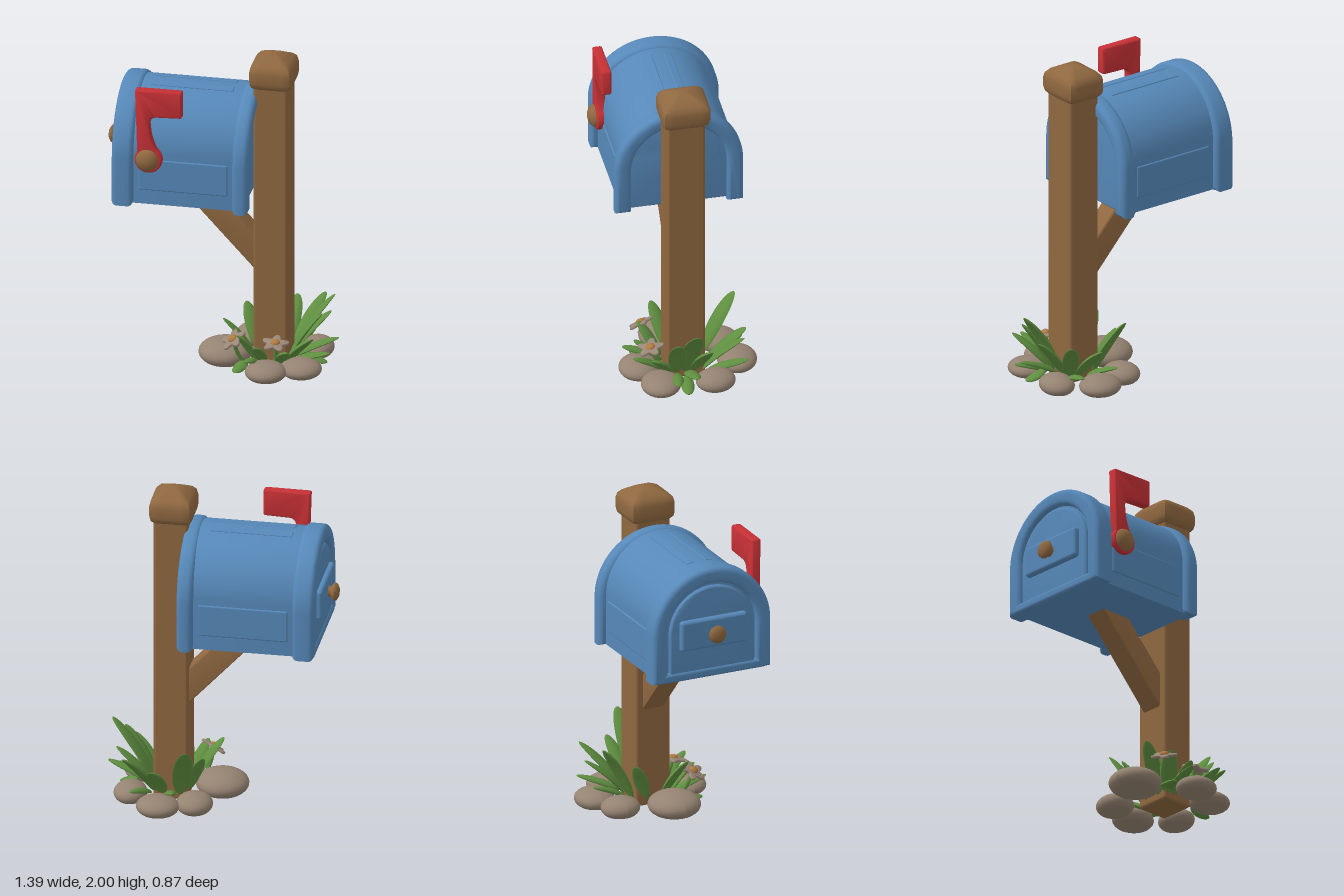
import * as THREE from 'three';
import { toCreasedNormals } from 'three/addons/utils/BufferGeometryUtils.js';
import { RoundedBoxGeometry } from 'three/addons/geometries/RoundedBoxGeometry.js';

export function createModel() {
  const model = new THREE.Group();
  const mat = (name, color) => Object.assign(new THREE.MeshStandardMaterial({ color }), { name });
  const blue = mat('blue paint', 0x5688b8);
  const wood = mat('wood', 0x8f6840);
  const red = mat('red paint', 0xc53035);
  const stone = mat('stone', 0x958372);
  const green = mat('leaf green', 0x5f8f40);
  const petal = mat('petal', 0x9a8878);
  const pollen = mat('flower centre', 0xb07a40);

  function add(name, geometry, material, x = 0, y = 0, z = 0) {
    const mesh = new THREE.Mesh(geometry, material);
    mesh.name = name;
    mesh.position.set(x, y, z);
    model.add(mesh);
    return mesh;
  }
  const roundedBox = (w, h, d, r) => new RoundedBoxGeometry(w, h, d, 3, r);

  // Bevelled extrusion whose outline keeps its drawn size
  function slab(shape, depth, bevel) {
    const geometry = new THREE.ExtrudeGeometry(shape, {
      depth: depth - 2 * bevel, bevelThickness: bevel, bevelSize: bevel, bevelOffset: -bevel,
      bevelSegments: 4, curveSegments: 24,
    });
    geometry.translate(0, 0, bevel);
    return toCreasedNormals(geometry, 0.7);
  }

  // Arch outline: half width w, from bottom y0 to crown y1
  function arch(w, y0, y1) {
    const s = new THREE.Shape();
    s.moveTo(-w, y0).lineTo(w, y0).lineTo(w, y1 - w);
    s.absarc(0, y1 - w, w, 0, Math.PI, false);
    s.lineTo(-w, y0);
    return s;
  }
  // Band following the arch, open at the bottom
  function archBand(w, inner, y0, y1) {
    const s = new THREE.Shape();
    s.moveTo(inner, y0).lineTo(w, y0).lineTo(w, y1 - w);
    s.absarc(0, y1 - w, w, 0, Math.PI, false);
    s.lineTo(-w, y0).lineTo(-inner, y0).lineTo(-inner, y1 - w);
    s.absarc(0, y1 - w, inner, Math.PI, 0, true);
    s.lineTo(inner, y0);
    return s;
  }
  const alongX = (shape, x0, x1, bevel) => slab(shape, x1 - x0, bevel).rotateY(Math.PI / 2).translate(x0, 0, 0);

  // Mailbox
  add('mailboxBody', alongX(arch(0.35, 1.11, 1.775), -0.58, 0.18, 0.015), blue);
  add('frontRim', alongX(archBand(0.39, 0.29, 1.1, 1.79), -0.61, -0.48, 0.03), blue);
  add('frontFloorRim', roundedBox(0.13, 0.06, 0.72, 0.02), blue, -0.545, 1.13, 0);
  add('backRim', alongX(archBand(0.39, 0.29, 1.1, 1.785), 0.12, 0.22, 0.035), blue);
  add('door', alongX(arch(0.28, 1.12, 1.675), -0.602, -0.55, 0.015), blue);
  add('doorPanel', roundedBox(0.05, 0.19, 0.44, 0.02), blue, -0.61, 1.39, 0);
  for (const side of [-1, 1]) {
    add('sidePanel', roundedBox(0.54, 0.2, 0.02, 0.009), blue, -0.18, 1.3, side * 0.347);
    add('roofRib', roundedBox(0.5, 0.014, 0.05, 0.006), blue, -0.18, 1.768, side * 0.06).rotation.x = side * 0.17;
  }

  // Door knob
  const knob = [[0, 0], [0.045, 0], [0.03, 0.02], [0.035, 0.032], [0.055, 0.045], [0.052, 0.062], [0.03, 0.075], [0, 0.078]];
  add('doorKnob', new THREE.LatheGeometry(knob.map(([r, y]) => new THREE.Vector2(r, y)), 24).rotateZ(Math.PI / 2),
    wood, -0.622, 1.39, 0);

  // Signal flag with its pivot
  const flag = new THREE.Shape();
  flag.moveTo(-0.465, 1.85).lineTo(-0.452, 1.46);
  flag.absarc(-0.385, 1.41, 0.083, 2.5, Math.PI * 2 + 0.85, false);
  flag.quadraticCurveTo(-0.37, 1.52, -0.378, 1.64);
  flag.quadraticCurveTo(-0.375, 1.69, -0.33, 1.69);
  flag.lineTo(-0.195, 1.695).quadraticCurveTo(-0.18, 1.695, -0.18, 1.71);
  flag.lineTo(-0.18, 1.85).quadraticCurveTo(-0.18, 1.862, -0.195, 1.862);
  flag.lineTo(-0.45, 1.86).quadraticCurveTo(-0.465, 1.86, -0.465, 1.85);
  add('signalFlag', slab(flag, 0.06, 0.012), red, 0, 0, 0.33);
  const pivot = new THREE.SphereGeometry(0.07, 24, 16);
  add('flagPivot', pivot.scale(1, 1, 0.7), wood, -0.39, 1.41, 0.385);

  // Post, cap and brace
  add('post', roundedBox(0.21, 1.86, 0.23, 0.018), wood, 0.3, 0.93, 0);
  const capProfile = [[0, 1.81], [0.86, 1.81], [0.96, 1.825], [1, 1.85], [1, 1.91], [0.95, 1.938], [0.8, 1.96], [0.35, 1.995], [0, 2]];
  const cap = new THREE.LatheGeometry(capProfile.map(([r, y]) => new THREE.Vector2(r, y)), 48);
  const capPos = cap.attributes.position;
  for (let i = 0; i < capPos.count; i++) {
    const x = capPos.getX(i), z = capPos.getZ(i), r = Math.hypot(x, z) || 1;
    const k = 1 / Math.pow(Math.abs(x / r) ** 9 + Math.abs(z / r) ** 9 || 1, 1 / 9);
    capPos.setX(i, x * k * 0.13);
    capPos.setZ(i, z * k * 0.147);
  }
  add('postCap', toCreasedNormals(cap, 0.75), wood, 0.3, 0, -0.003);
  const brace = new THREE.Shape();
  brace.moveTo(-0.27, 1.12).lineTo(0.22, 0.59).lineTo(0.22, 0.82).lineTo(-0.06, 1.12);
  add('brace', slab(brace, 0.14, 0.012), wood, 0, 0, -0.07);

  // Ring of flat-bottomed stones: x, z, half width, half depth, height
  const stones = [
    [0.015, 0.05, 0.16, 0.16, 0.14], [0.305, 0.27, 0.125, 0.12, 0.105], [0.5, 0.175, 0.125, 0.12, 0.1],
    [0.535, -0.15, 0.1, 0.12, 0.11], [0.34, -0.32, 0.13, 0.12, 0.11], [0.13, -0.25, 0.11, 0.12, 0.115],
  ];
  for (const [x, z, rx, rz, h] of stones) {
    const g = new THREE.SphereGeometry(1, 28, 18).scale(rx, h * 0.58, rz).translate(0, h * 0.42, 0);
    const p = g.attributes.position;
    for (let i = 0; i < p.count; i++) p.setY(i, Math.max(0.004, p.getY(i)));
    g.computeVertexNormals();
    add('stone', g, stone, x, 0, z);
  }

  // Leaf: an ellipsoid bent along a curve from base to tip
  function leaf(base, tip, width) {
    const a = new THREE.Vector3(...base), b = new THREE.Vector3(...tip);
    const mid = new THREE.Vector3().lerpVectors(a, b, 0.36).setY(a.y + (b.y - a.y) * 0.6);
    const curve = new THREE.QuadraticBezierCurve3(a, mid, b);
    const side = new THREE.Vector3(b.z - a.z, 0, a.x - b.x).normalize();
    const g = new THREE.SphereGeometry(1, 12, 16);
    const p = g.attributes.position;
    for (let i = 0; i < p.count; i++) {
      const t = (p.getY(i) + 1) / 2;
      const tangent = curve.getTangent(t);
      const normal = new THREE.Vector3().crossVectors(side, tangent);
      const v = curve.getPoint(t).addScaledVector(side, p.getX(i) * width)
        .addScaledVector(normal, p.getZ(i) * 0.016 + p.getX(i) ** 2 * width * 0.2);
      p.setXYZ(i, v.x, v.y, v.z);
    }
    g.computeVertexNormals();
    add('leaf', g, green);
  }
  const leaves = [
    [[0.4, 0.04, 0], [0.67, 0.46, -0.01], 0.065],
    [[0.4, 0.04, 0.06], [0.61, 0.37, 0.09], 0.055],
    [[0.4, 0.04, 0.1], [0.58, 0.26, 0.23], 0.05],
    [[0.36, 0.04, 0.12], [0.44, 0.2, 0.33], 0.04],
    [[0.4, 0.04, -0.05], [0.63, 0.31, -0.1], 0.05],
    [[0.4, 0.04, -0.1], [0.55, 0.33, -0.32], 0.05],
    [[0.35, 0.04, -0.12], [0.37, 0.28, -0.37], 0.055],
    [[0.24, 0.04, -0.12], [0.17, 0.41, -0.34], 0.06],
    [[0.2, 0.04, -0.05], [0.1, 0.3, -0.16], 0.05],
    [[0.2, 0.04, 0.06], [0.02, 0.31, 0.14], 0.05],
    [[0.22, 0.04, 0.12], [0.13, 0.25, 0.24], 0.045],
    [[0.26, 0.04, 0.12], [0.25, 0.2, 0.29], 0.04],
    [[0.42, 0.04, 0], [0.695, 0.18, -0.01], 0.04],
    [[0.42, 0.04, 0.06], [0.66, 0.12, 0.1], 0.035],
    [[0.3, 0.04, -0.14], [0.25, 0.15, -0.37], 0.035],
    [[0.42, 0.04, -0.12], [0.5, 0.14, -0.36], 0.035],
    [[0.15, 0.05, 0.14], [0.12, 0.03, 0.29], 0.04],
    [[0.22, 0.05, 0.14], [0.2, 0.13, 0.35], 0.035],
    [[0.5, 0.08, 0.02], [0.63, 0.03, 0.03], 0.04],
  ];
  for (const args of leaves) leaf(...args);

  // Five-petalled flowers on stems
  function flower(x, y, z, tiltX, tiltZ) {
    const group = new THREE.Group();
    group.name = 'flower';
    const disc = new THREE.Shape();
    for (let i = 0; i <= 60; i++) {
      const a = (i / 60) * Math.PI * 2, r = 0.066 + 0.018 * Math.cos(5 * a);
      if (i) disc.lineTo(r * Math.cos(a), r * Math.sin(a));
      else disc.moveTo(r, 0);
    }
    const petals = new THREE.Mesh(slab(disc, 0.018, 0.006).rotateX(-Math.PI / 2), petal);
    petals.name = 'petals';
    const centre = new THREE.Mesh(new THREE.SphereGeometry(0.028, 16, 10).scale(1, 0.6, 1).translate(0, 0.018, 0), pollen);
    centre.name = 'flowerCentre';
    group.add(petals, centre);
    group.position.set(x, y, z);
    group.rotation.set(tiltX, 0.3, tiltZ);
    model.add(group);
    const path = new THREE.QuadraticBezierCurve3(new THREE.Vector3(x * 0.7 + 0.09, 0.03, z * 0.7),
      new THREE.Vector3(x, 0.1, z * 0.8), new THREE.Vector3(x, y, z));
    add('flowerStem', new THREE.TubeGeometry(path, 8, 0.012, 8), green);
  }
  flower(0.35, 0.195, 0.205, 0.2, -0.05);
  flower(0.1, 0.205, 0.21, 0.25, 0.5);

  return model;
}
